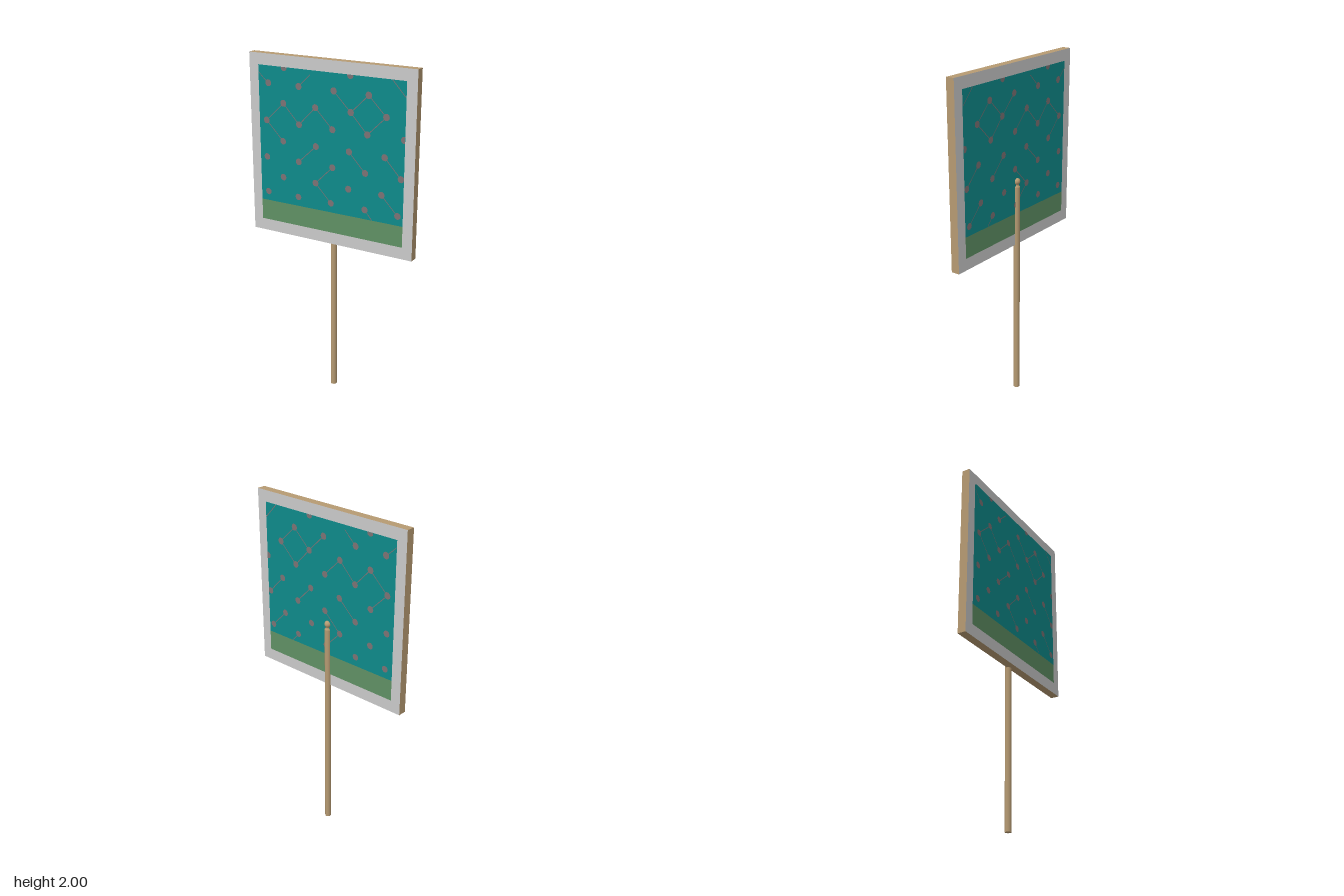
import * as THREE from 'three';

const mat = (name, color, side = THREE.FrontSide) => {
  const m = new THREE.MeshStandardMaterial({ color, side });
  m.name = name;
  return m;
};

export function createModel() {
  const group = new THREE.Group();
  const wood = mat('wood', 0xb69a72);
  const pale = mat('paleGrey', 0xcacaca);
  const teal = mat('teal', 0x0e8a8a, THREE.DoubleSide);
  const green = mat('green', 0x5f9064, THREE.DoubleSide);
  const rust = mat('dullRose', 0x7c7274, THREE.DoubleSide);

  const add = (name, geometry, material, x = 0, y = 0, z = 0) => {
    const mesh = new THREE.Mesh(geometry, material);
    mesh.name = name;
    mesh.position.set(x, y, z);
    group.add(mesh);
    return mesh;
  };

  // Board: wooden rim, pale faces front and back
  const zFront = 0.035, zBack = -0.015;
  add('board', new THREE.BoxGeometry(1.04, 1.05, zFront - zBack),
    [wood, wood, wood, wood, pale, pale], 0, 1.475, (zFront + zBack) / 2);

  // Post with a neck and a ball on top
  const post = new THREE.CylinderGeometry(0.0185, 0.0185, 1.3, 12);
  add('post', post, wood, 0, 0.65, zBack);
  const neck = [[0.0185, 1.3], [0.012, 1.308], [0.012, 1.315], [0.016, 1.32]]
    .map(([r, y]) => new THREE.Vector2(r, y));
  add('postNeck', new THREE.LatheGeometry(neck, 12), wood, 0, 0, zBack);
  add('postBall', new THREE.SphereGeometry(0.02, 16, 12), wood, 0, 1.332, zBack);

  // Printed panel, the same in x and y on both sides
  const x1 = 0.46, yLow = 1.02, ySplit = 1.142, yTop = 1.935;
  const clampX = x => Math.max(-x1, Math.min(x1, x));
  const clampY = y => Math.max(ySplit, Math.min(yTop, y));

  // Dots: each row is a height followed by its x positions
  const rows = [
    [1.932, -0.29, 0.13],
    [1.838, -0.395, -0.195, 0.028, 0.242],
    [1.733, -0.297, -0.088, 0.134, 0.348],
    [1.624, -0.412, -0.195, 0.02, 0.236, 0.455],
    [1.514, -0.303, -0.086, 0.125, 0.343],
    [1.408, -0.415, -0.2, 0.02, 0.226, 0.443],
    [1.3, -0.306, -0.09, 0.122, 0.328],
    [1.197, -0.412, -0.206, 0.01, 0.226, 0.428],
  ];
  const shapes = [];
  for (const [y, ...xs] of rows) for (const x of xs) {
    const points = [];
    for (let i = 0; i < 10; i++) {
      const a = i / 10 * Math.PI * 2;
      points.push(new THREE.Vector2(clampX(x + 0.02 * Math.cos(a)), clampY(y + 0.02 * Math.sin(a))));
    }
    shapes.push(new THREE.Shape(points));
  }

  // Fine diagonal threads between some dots: start x, start y, end x, end y
  const threads = [
    [-0.46, 1.895, -0.4, 1.84], [-0.195, 1.838, -0.12, 1.91],
    [0.028, 1.838, 0.134, 1.733], [0.134, 1.733, 0.242, 1.838],
    [0.242, 1.838, 0.348, 1.733], [0.348, 1.733, 0.236, 1.624],
    [0.134, 1.733, 0.236, 1.624], [-0.297, 1.733, -0.195, 1.624],
    [-0.412, 1.624, -0.297, 1.733], [-0.195, 1.624, -0.088, 1.733],
    [-0.088, 1.733, 0.02, 1.624], [-0.412, 1.624, -0.303, 1.514],
    [-0.086, 1.514, -0.2, 1.408], [0.02, 1.408, -0.09, 1.3],
    [0.125, 1.514, 0.226, 1.408], [0.343, 1.514, 0.443, 1.408],
    [-0.09, 1.3, 0.01, 1.197], [0.328, 1.3, 0.428, 1.197],
    [0.38, 1.933, 0.458, 1.85], [0.226, 1.197, 0.27, 1.145],
  ];
  for (const [ax, ay, bx, by] of threads) {
    const d = new THREE.Vector2(bx - ax, by - ay).normalize().multiplyScalar(0.0022);
    shapes.push(new THREE.Shape([
      [ax - d.y, ay + d.x], [ax + d.y, ay - d.x], [bx + d.y, by - d.x], [bx - d.y, by + d.x],
    ].map(([x, y]) => new THREE.Vector2(clampX(x), clampY(y)))));
  }
  const pattern = new THREE.ShapeGeometry(shapes);

  for (const [label, z, s] of [['front', zFront, 1], ['back', zBack, -1]]) {
    // Back pieces use a mirrored scale so that their normals face outwards
    const parts = [
      add(label + 'PanelField', new THREE.PlaneGeometry(2 * x1, yTop - ySplit), teal, 0, (yTop + ySplit) / 2, z + s * 0.0015),
      add(label + 'PanelBand', new THREE.PlaneGeometry(2 * x1, ySplit - yLow), green, 0, (ySplit + yLow) / 2, z + s * 0.0015),
      add(label + 'PanelPattern', pattern, rust, 0, 0, z + s * 0.003),
    ];
    parts.forEach(p => { p.scale.z = s; });
  }
  return group;
}
